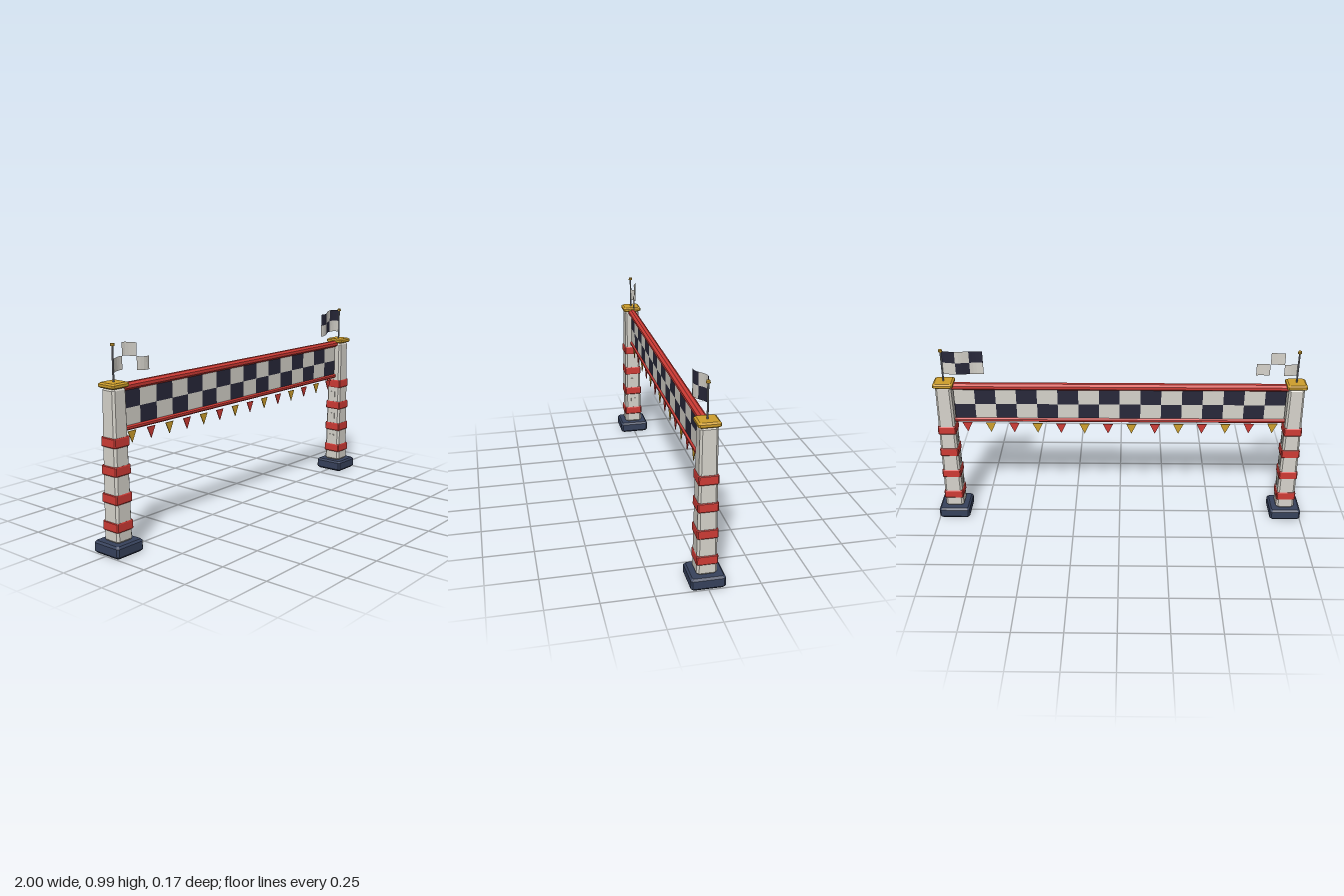
import * as THREE from 'three';
import { mergeGeometries } from 'three/addons/utils/BufferGeometryUtils.js';

const mat = (name, color, extra = {}) => new THREE.MeshStandardMaterial({ name, color, flatShading: true, ...extra });

// Square block with cut corners, skinned through sections [y, halfWidth, cornerCut]
function block(sections) {
  const rings = sections.map(([y, h, c]) => [
    [h, h - c], [h - c, h], [c - h, h], [-h, h - c], [-h, c - h], [c - h, -h], [h - c, -h], [h, c - h],
  ].map(([x, z]) => [x, y, z]));
  const pos = [];
  const tri = (a, b, c) => pos.push(...a, ...b, ...c);
  for (let r = 0; r < rings.length - 1; r++) {
    for (let i = 0; i < 8; i++) {
      const j = (i + 1) % 8, lo = rings[r], hi = rings[r + 1];
      tri(lo[i], hi[i], hi[j]);
      tri(lo[i], hi[j], lo[j]);
    }
  }
  const bottom = rings[0], top = rings[rings.length - 1];
  for (let i = 1; i < 7; i++) {
    tri(bottom[0], bottom[i], bottom[i + 1]);
    tri(top[0], top[i + 1], top[i]);
  }
  const g = new THREE.BufferGeometry();
  g.setAttribute('position', new THREE.Float32BufferAttribute(pos, 3));
  g.computeVertexNormals();
  return g;
}

export function createModel() {
  const model = new THREE.Group();
  model.name = 'finishArch';

  const white = mat('white', 0xd6d3cb);
  const red = mat('red', 0xcf3b35);
  const navy = mat('navy', 0x37425c);
  const gold = mat('gold', 0xcf9f2c);
  const metal = mat('metal', 0x7d8088);
  const black = mat('black', 0x28283a);
  const clothWhite = white, clothBlack = black;
  for (const m of [white, black, red, gold]) m.side = THREE.DoubleSide;

  const add = (parent, name, geometry, material, x = 0, y = 0, z = 0) => {
    const m = new THREE.Mesh(geometry, material);
    m.name = name;
    m.position.set(x, y, z);
    parent.add(m);
    return m;
  };

  // Waving flag cell, running inward from the pole
  const FLAG_W = 0.207, FLAG_H = 0.128;
  function flagCell(col, row, dir) {
    const g = new THREE.PlaneGeometry(1, 1, 4, 1);
    const p = g.attributes.position;
    for (let i = 0; i < p.count; i++) {
      const u = (col + p.getX(i) + 0.5) / 3;
      const v = (row + p.getY(i) + 0.5) / 2;
      const y = 0.852 + FLAG_H * v + 0.005 * Math.sin(u * 5.2) - 0.004 * u;
      p.setXYZ(i, dir * (0.004 + FLAG_W * u), y, -0.018 * Math.sin(u * 5.2));
    }
    g.computeVertexNormals();
    return g;
  }

  // Towers
  for (const side of [-1, 1]) {
    const tower = new THREE.Group();
    tower.name = side > 0 ? 'leftTower' : 'rightTower';
    tower.position.x = side * 0.917;
    model.add(tower);

    add(tower, 'base', block([[0, 0.075, 0.008], [0.01, 0.083, 0.009], [0.05, 0.083, 0.009], [0.06, 0.074, 0.008]]), navy);
    add(tower, 'post', block([[0.06, 0.043, 0.01], [0.068, 0.049, 0.011], [0.777, 0.041, 0.01], [0.787, 0.034, 0.008]]), white);

    for (let i = 0; i < 4; i++) {
      const h = 0.0515 - i * 0.0012;
      add(tower, 'band', block([[-0.023, h - 0.003, 0.005], [-0.019, h, 0.005], [0.019, h - 0.0005, 0.005], [0.023, h - 0.003, 0.005]]),
        red, 0, 0.135 + i * 0.134, 0);
    }
    // Small plates on the inner face
    for (let i = 0; i < 3; i++) {
      const y = 0.202 + i * 0.134, x = -side * (0.0485 - 0.0113 * (y - 0.068));
      add(tower, 'innerPlate', new THREE.BoxGeometry(0.008, 0.034, 0.028), white, x, y, 0);
    }

    add(tower, 'cap', block([[0.787, 0.045, 0.006], [0.793, 0.052, 0.007], [0.805, 0.052, 0.007], [0.812, 0.043, 0.006]]), gold);
    add(tower, 'flagPole', new THREE.CylinderGeometry(0.0045, 0.0045, 0.17, 8), metal, 0, 0.895, 0);
    add(tower, 'poleKnob', new THREE.CylinderGeometry(0.009, 0.011, 0.012, 8), gold, 0, 0.982, 0);

    // Chequered flags; the one on the right tower has open dark squares
    const cells = { light: [], dark: [] };
    for (let c = 0; c < 3; c++) {
      for (let r = 0; r < 2; r++) cells[(c + r) % 2 ? 'dark' : 'light'].push(flagCell(c, r, -side));
    }
    add(tower, 'flagLightSquares', mergeGeometries(cells.light), clothWhite);
    if (side > 0) add(tower, 'flagDarkSquares', mergeGeometries(cells.dark), clothBlack);
  }

  // Chequered banner
  const COLS = 16, cw = 1.74 / COLS, ch = 0.085;
  const banner = { light: [], dark: [] };
  for (let c = 0; c < COLS; c++) {
    for (let r = 0; r < 2; r++) {
      const g = new THREE.BoxGeometry(cw, ch, 0.012);
      g.translate(-0.87 + (c + 0.5) * cw, 0.594 + (r + 0.5) * ch, 0);
      banner[(c + r) % 2 ? 'dark' : 'light'].push(g);
    }
  }
  add(model, 'bannerLightSquares', mergeGeometries(banner.light), white);
  add(model, 'bannerDarkSquares', mergeGeometries(banner.dark), black);

  // Rails above and below the banner
  const rail = (name, y, ry, rz) => {
    const g = new THREE.CylinderGeometry(1, 1, 1.76, 8);
    g.rotateY(Math.PI / 8).rotateZ(Math.PI / 2).scale(1, ry, rz);
    add(model, name, g, red, 0, y, 0);
  };
  rail('topRail', 0.781, 0.019, 0.023);
  rail('bottomRail', 0.585, 0.013, 0.015);

  // Row of pennants
  const tri = new THREE.Shape([[-0.027, 0], [0, -0.057], [0.027, 0]].map(([x, y]) => new THREE.Vector2(x, y)));
  const pennant = new THREE.ExtrudeGeometry(tri, { depth: 0.004, bevelEnabled: false });
  for (let i = 0; i < 14; i++) {
    const x = -0.8125 + i * 0.125;
    add(model, 'pennant', pennant, i % 2 ? red : gold, x, 0.558 + 0.012 * x * x, -0.002);
  }
  return model;
}
